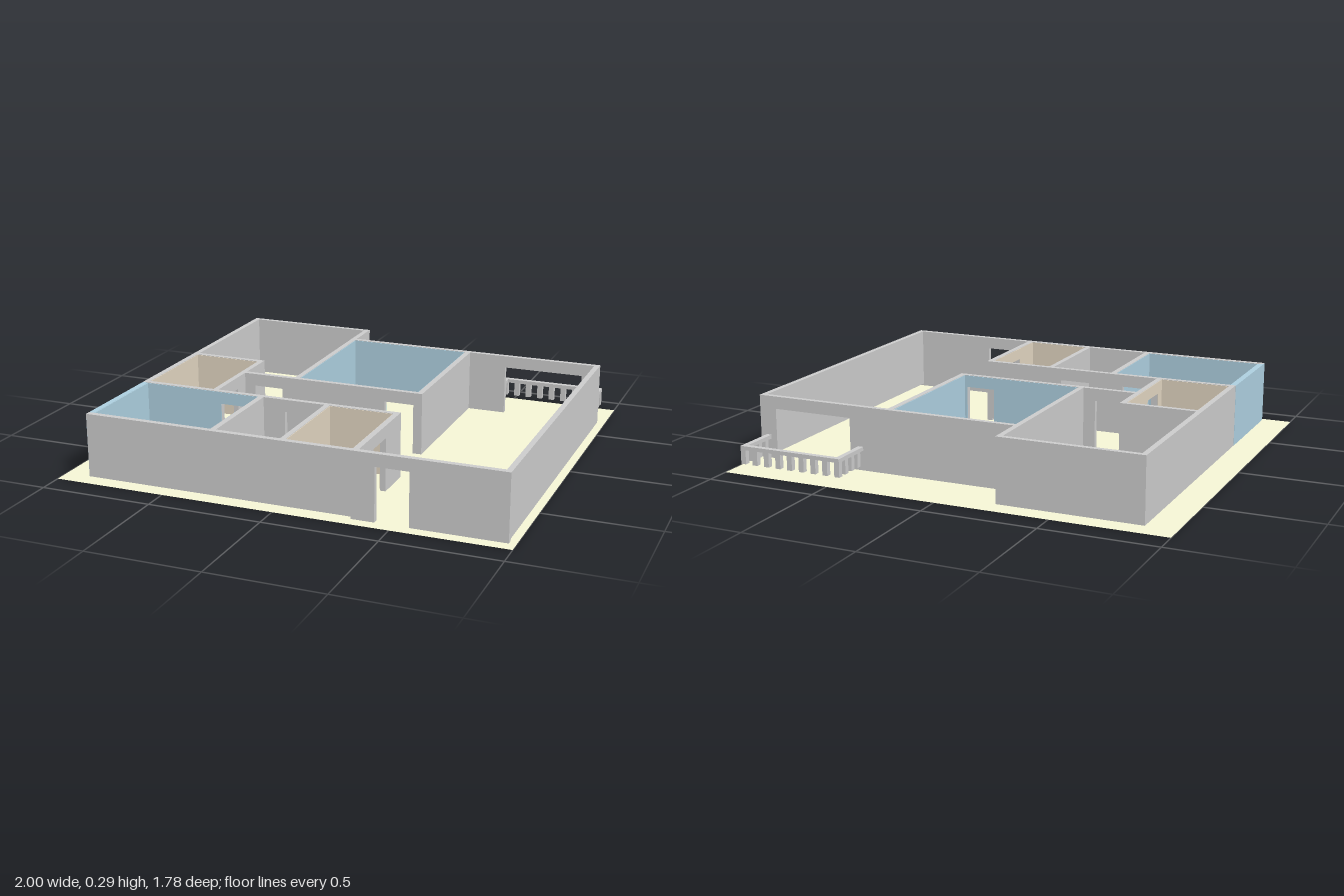
import * as THREE from 'three';

const TOP = 0.29, DOOR_TOP = 0.235, BASE = 0.01;
const mat = (color) => new THREE.MeshStandardMaterial({ color });
const grey = mat(0xcccccc), blue = mat(0xadcfdf), tan = mat(0xe0d4c0), beige = mat(0xf5f5d5);

// Wall along axis 'x' or 'z' from a0 to a1, occupying c0..c1 across; doors are [from, to] pairs
function wall(name, axis, a0, a1, c0, c1, { doors = [], material = grey, base = BASE, top = TOP } = {}) {
  const s = new THREE.Shape();
  s.moveTo(a0, base);
  for (const [d0, d1] of doors) {
    s.lineTo(d0, base);
    s.lineTo(d0, DOOR_TOP);
    s.lineTo(d1, DOOR_TOP);
    s.lineTo(d1, base);
  }
  s.lineTo(a1, base);
  s.lineTo(a1, top);
  s.lineTo(a0, top);
  s.closePath();
  const mesh = new THREE.Mesh(new THREE.ExtrudeGeometry(s, { depth: c1 - c0, bevelEnabled: false }), material);
  mesh.name = name;
  if (axis === 'x') mesh.position.z = c0;
  else {
    mesh.rotation.y = -Math.PI / 2;
    mesh.position.x = c1;
  }
  return mesh;
}

function box(name, x0, x1, y0, y1, z0, z1) {
  const m = new THREE.Mesh(new THREE.BoxGeometry(x1 - x0, y1 - y0, z1 - z0), grey);
  m.name = name;
  m.position.set((x0 + x1) / 2, (y0 + y1) / 2, (z0 + z1) / 2);
  return m;
}

// Thin coloured lining on the four inner faces of a room
function lining(name, x0, x1, z0, z1, material, { back, front, left, right } = {}) {
  const t = 0.003, g = new THREE.Group();
  const opt = (doors = []) => ({ doors, material, top: TOP - 0.002 });
  g.name = name;
  g.add(
    wall('backLining', 'x', x0, x1, z0, z0 + t, opt(back)),
    wall('frontLining', 'x', x0, x1, z1 - t, z1, opt(front)),
    wall('rightLining', 'z', z0, z1, x0, x0 + t, opt(right)),
    wall('leftLining', 'z', z0, z1, x1 - t, x1, opt(left)),
  );
  return g;
}

// Balcony railing: three straight runs of rail with hanging balusters
function balcony() {
  const g = new THREE.Group();
  g.name = 'balconyRailing';
  const x0 = 0.457, x1 = 0.942, z0 = -0.855, z1 = -0.655, w = 0.024;
  g.add(
    box('backRail', x0, x1, 0.098, 0.115, z0, z0 + w),
    box('rightRail', x0, x0 + w, 0.098, 0.115, z0 + w, z1),
    box('leftRail', x1 - w, x1, 0.098, 0.115, z0 + w, z1),
  );
  const post = (x, z) => g.add(box('baluster', x, x + w, 0.035, 0.098, z, z + w));
  for (let i = 0; i < 9; i++) post(x0 + (i * (x1 - x0 - w)) / 8, z0);
  for (let i = 1; i < 4; i++) for (const x of [x0, x1 - w]) post(x, z0 + i * 0.05);
  return g;
}

export function createModel() {
  const house = new THREE.Group();
  house.name = 'floorPlan';

  // Ground sheet
  const groundMat = beige.clone();
  groundMat.side = THREE.DoubleSide;
  const ground = new THREE.Mesh(new THREE.PlaneGeometry(2, 1.78).rotateX(-Math.PI / 2), groundMat);
  ground.name = 'ground';
  house.add(ground);

  // Door positions shared by walls and linings
  const bedroomDoor = [0.17, 0.305], rearRoomDoor = [-0.46, -0.325];
  const frontRoomDoor = [-0.485, -0.345], middleRoomDoor = [-0.18, -0.04];
  const sideRoomDoor = [0.51, 0.65], bathDoor = [0.14, 0.28];

  // Outer walls
  house.add(
    wall('frontWall', 'x', -0.875, 0.32, 0.812, 0.837),
    wall('entranceWall', 'x', 0.32, 0.97, 0.812, 0.837, { doors: [[0.42, 0.565]], base: 0 }),
    wall('leftWall', 'z', -0.655, 0.812, 0.946, 0.97),
    wall('backWall', 'x', -0.246, 0.946, -0.655, -0.632, { doors: [[0.52, 0.89]] }),
    wall('rearRoomBackWall', 'x', -0.875, -0.246, -0.83, -0.808),
    wall('rightWall', 'z', -0.808, 0.355, -0.875, -0.851),
    wall('rightFrontWall', 'z', 0.355, 0.836, -0.876, -0.851, { material: blue, top: TOP - 0.001 }),
  );

  // Inner walls
  house.add(
    wall('rearRoomSideWall', 'z', -0.808, 0.04, -0.27, -0.246),
    wall('bedroomSideWall', 'z', -0.632, 0.04, 0.32, 0.345),
    wall('bedroomFrontWall', 'x', -0.27, 0.345, 0.04, 0.063, { doors: [bedroomDoor] }),
    wall('rearRoomFrontWall', 'x', -0.51, -0.27, 0.04, 0.063, { doors: [rearRoomDoor] }),
    wall('bathBackWall', 'x', -0.851, -0.51, -0.146, -0.123),
    wall('bathSideWall', 'z', -0.123, 0.332, -0.534, -0.51, { doors: [bathDoor] }),
    wall('corridorWall', 'x', -0.851, 0.32, 0.332, 0.356, { doors: [frontRoomDoor, middleRoomDoor] }),
    wall('frontRoomSideWall', 'z', 0.356, 0.812, -0.305, -0.28),
    wall('middleRoomSideWall', 'z', 0.356, 0.812, 0.006, 0.03),
    wall('entranceSideWall', 'z', 0.332, 0.812, 0.32, 0.345, { doors: [sideRoomDoor], base: 0 }),
  );

  // Coloured room linings
  house.add(
    lining('bedroomLining', -0.246, 0.32, -0.632, 0.04, blue, { front: [bedroomDoor] }),
    lining('frontRoomLining', -0.851, -0.305, 0.356, 0.812, blue, { back: [frontRoomDoor] }),
    lining('bathLining', -0.851, -0.534, -0.123, 0.332, tan, { left: [bathDoor] }),
    lining('sideRoomLining', 0.03, 0.32, 0.356, 0.812, tan, { left: [sideRoomDoor] }),
  );

  house.add(balcony());
  return house;
}
